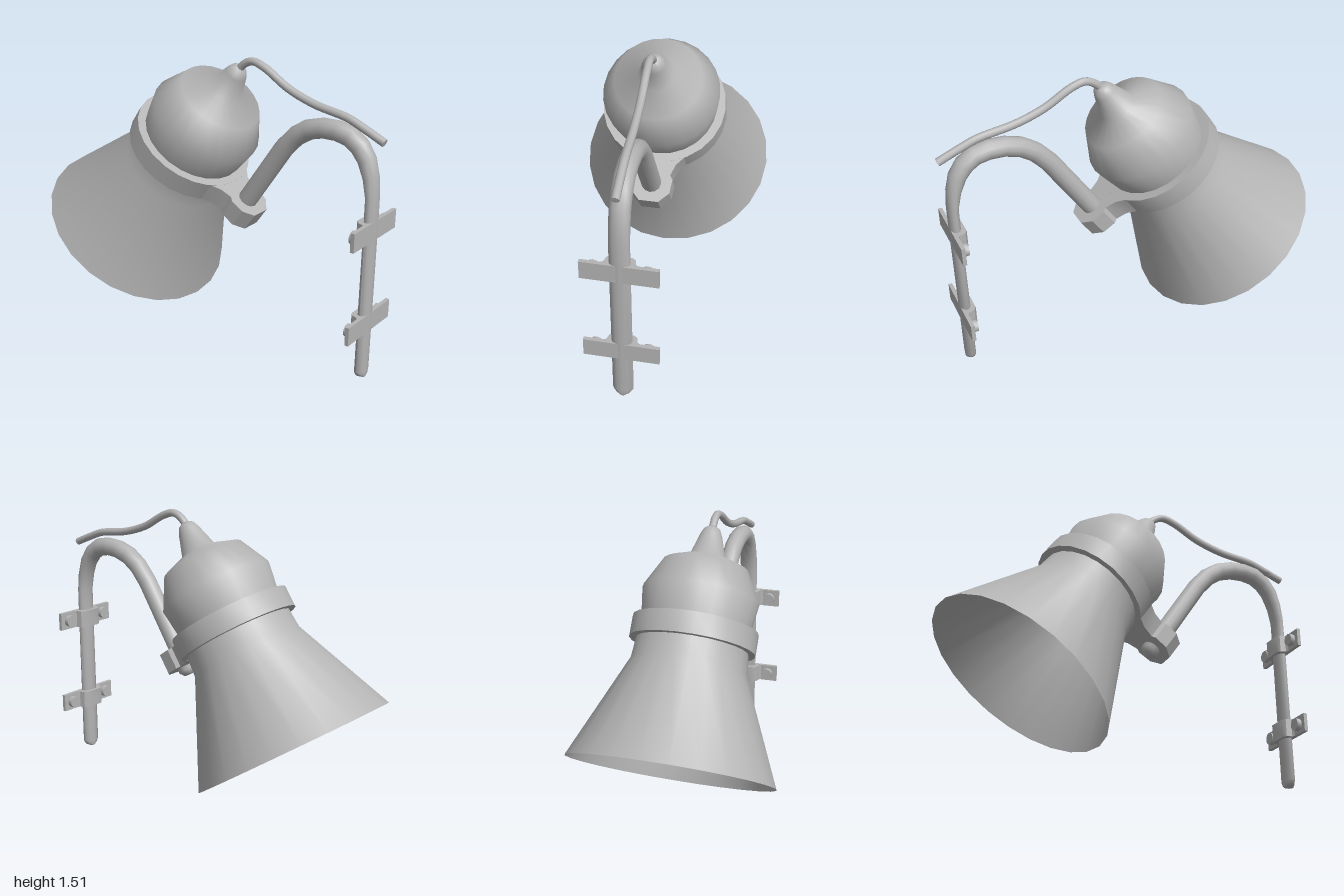
import * as THREE from 'three';
import { toCreasedNormals, mergeVertices } from 'three/addons/utils/BufferGeometryUtils.js';

const grey = new THREE.MeshStandardMaterial({ color: 0xb4b4b4, side: THREE.DoubleSide });
grey.name = 'grey metal';

function add(parent, name, geometry, crease = 0.65) {
  const mesh = new THREE.Mesh(toCreasedNormals(geometry, crease), grey);
  mesh.name = name;
  parent.add(mesh);
  return mesh;
}

const lathe = (profile) =>
  new THREE.LatheGeometry(profile.map(([r, y]) => new THREE.Vector2(r, y)), 24);

// Elliptical sections [x, y, radius in plane, radius along z] swept along a path in the xy plane
function sweep(stations, sides = 12) {
  const pos = [], index = [];
  stations.forEach(([x, y, rn, rz], i) => {
    const a = stations[Math.max(i - 1, 0)];
    const b = stations[Math.min(i + 1, stations.length - 1)];
    const t = new THREE.Vector2(b[0] - a[0], b[1] - a[1]).normalize();
    for (let j = 0; j < sides; j++) {
      const q = (j / sides) * Math.PI * 2;
      pos.push(x - t.y * Math.cos(q) * rn, y + t.x * Math.cos(q) * rn, Math.sin(q) * rz);
      if (i === stations.length - 1) continue;
      const k = (j + 1) % sides, p = i * sides, n = p + sides;
      index.push(p + j, p + k, n + j, p + k, n + k, n + j);
    }
  });
  const g = new THREE.BufferGeometry();
  g.setAttribute('position', new THREE.Float32BufferAttribute(pos, 3));
  g.setIndex(index);
  return mergeVertices(g);
}

// Outline in (x, z), extruded upwards from y = 0
function slab(outline, height) {
  const shape = new THREE.Shape(outline.map(([x, z]) => new THREE.Vector2(x, -z)));
  return new THREE.ExtrudeGeometry(shape, { depth: height, bevelEnabled: false })
    .rotateX(-Math.PI / 2);
}

export function createModel() {
  const model = new THREE.Group();
  model.name = 'wallLamp';

  // Tilted lamp head, built upright with the rim centre at its origin
  const head = new THREE.Group();
  head.name = 'lampHead';
  head.position.set(-0.565, 0.39, 0);
  head.rotation.z = -0.604;
  model.add(head);

  add(head, 'shade', lathe([[0.528, 0], [0.295, 0.535], [0.287, 0.645]]), 0.9);
  add(head, 'collar', lathe([[0.28, 0.64], [0.322, 0.64], [0.322, 0.75], [0.27, 0.75]]));
  add(head, 'housing', lathe([
    [0.278, 0.745], [0.3, 0.905], [0.22, 1.063], [0.092, 1.117],
    [0.056, 1.235], [0.042, 1.265], [0.02, 1.28], [0, 1.282],
  ]), 1.0);

  // Lug on the collar that holds the arm
  add(head, 'armLug', slab([
    [0.27, -0.16], [0.33, -0.11], [0.39, -0.09], [0.41, -0.105], [0.485, -0.1], [0.537, -0.05],
    [0.537, 0.05], [0.485, 0.1], [0.41, 0.105], [0.39, 0.09], [0.33, 0.11], [0.27, 0.16],
  ], 0.11)).position.y = 0.639;

  // Bent pipe, flattened along its upright part
  add(model, 'arm', sweep([
    [0.133, 0.625, 0, 0], [0.135, 0.628, 0.03, 0.03], [0.148, 0.647, 0.051, 0.051],
    [0.23, 0.772, 0.051, 0.051], [0.44, 1.09, 0.05, 0.05], [0.51, 1.168, 0.05, 0.05],
    [0.58, 1.215, 0.05, 0.05], [0.66, 1.24, 0.05, 0.05], [0.74, 1.245, 0.05, 0.05],
    [0.81, 1.232, 0.05, 0.05], [0.865, 1.195, 0.048, 0.05], [0.905, 1.14, 0.044, 0.05],
    [0.932, 1.06, 0.036, 0.05], [0.946, 0.97, 0.028, 0.05], [0.947, 0.85, 0.028, 0.05],
    [0.947, 0.035, 0.028, 0.052], [0.947, 0.012, 0.028, 0.038],
    [0.947, 0.001, 0.026, 0.02], [0.947, 0, 0, 0],
  ]), 0.9);

  // Wall clamps: back plate, strap over the pipe and two bolts
  for (const y of [0.31, 0.803]) {
    const clamp = new THREE.Group();
    clamp.name = 'wallClamp';
    clamp.position.y = y;
    model.add(clamp);
    add(clamp, 'clampPlate', new THREE.BoxGeometry(0.02, 0.098, 0.37)).position.x = 0.963;
    add(clamp, 'clampStrap', slab([
      [0.957, -0.095], [0.945, -0.075], [0.915, -0.068], [0.902, -0.05],
      [0.902, 0.05], [0.915, 0.068], [0.945, 0.075], [0.957, 0.095],
    ], 0.096)).position.y = -0.048;
    for (const side of [-1, 1]) {
      const bolt = add(clamp, 'bolt', new THREE.CylinderGeometry(0.033, 0.033, 0.028, 12).rotateZ(Math.PI / 2));
      bolt.position.set(0.941, 0, side * 0.128);
    }
  }

  // Power cable from the housing tip
  const path = new THREE.CatmullRomCurve3([
    [0.13, 1.39], [0.175, 1.455], [0.235, 1.486], [0.31, 1.468], [0.45, 1.393],
    [0.6, 1.346], [0.79, 1.318], [0.87, 1.29], [0.99, 1.242],
  ].map(([x, y]) => new THREE.Vector3(x, y, 0)));
  const cable = path.getPoints(36).map((p) => [p.x, p.y, 0.02, 0.02]);
  cable.push([0.991, 1.2416, 0, 0]);
  add(model, 'cable', sweep(cable, 10), 0.8);

  return model;
}
